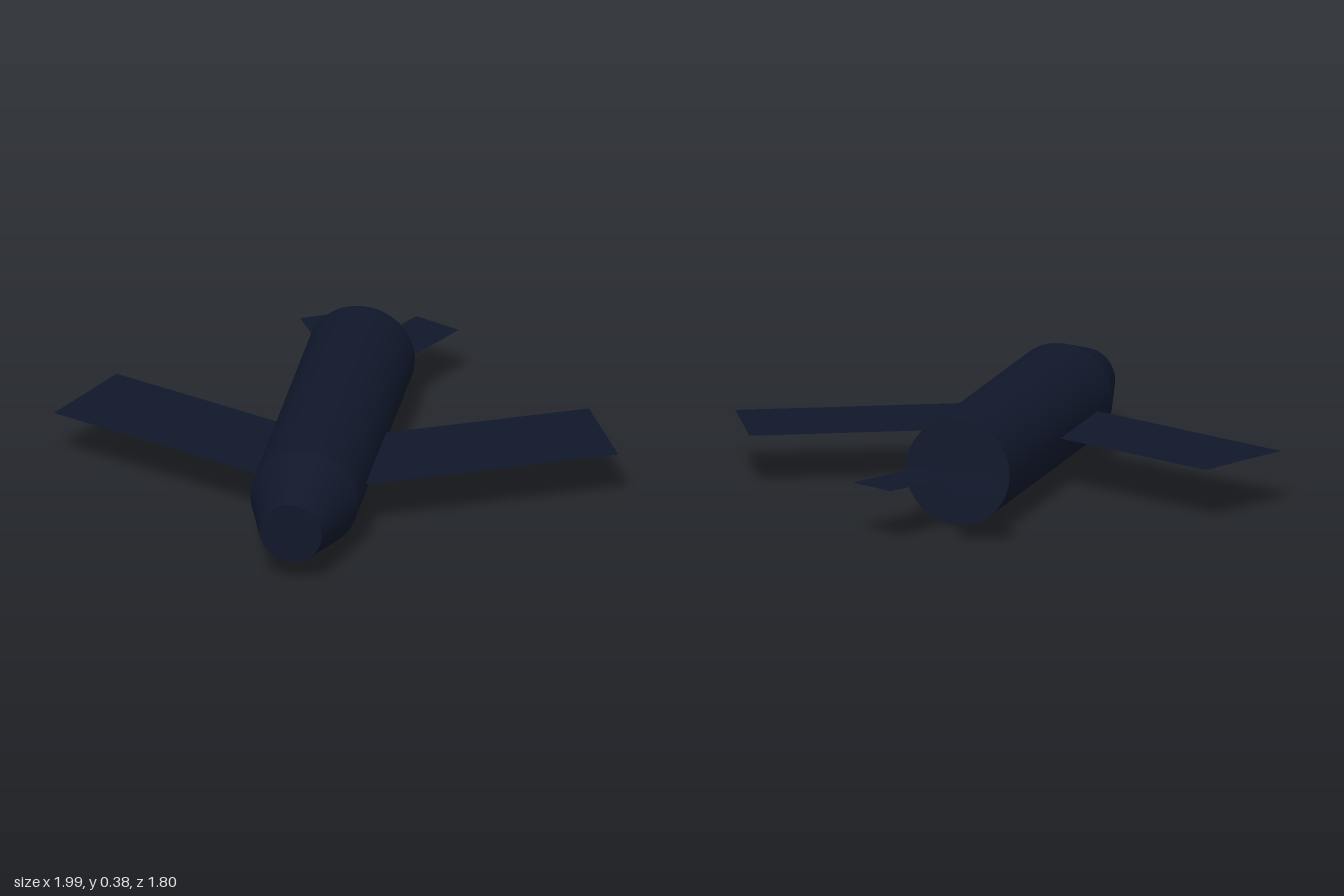
import * as THREE from 'three';

export function createModel() {
  const model = new THREE.Group();
  const bodyMat = new THREE.MeshStandardMaterial({ color: 0x0f172a });
  const finMat = new THREE.MeshStandardMaterial({ color: 0x0f172a, side: THREE.DoubleSide });
  const axisX = -0.02, axisY = 0.19;

  // Round section along z, from zBack to zFront
  function section(name, rFront, rBack, zFront, zBack) {
    const geo = new THREE.CylinderGeometry(rFront, rBack, zFront - zBack, 32);
    geo.rotateX(Math.PI / 2);
    const mesh = new THREE.Mesh(geo, bodyMat);
    mesh.name = name;
    mesh.position.set(axisX, axisY, (zFront + zBack) / 2);
    model.add(mesh);
  }

  // Thin flat panel, swept back by an angle, running inward from its tip's midpoint
  function panel(name, side, tipX, tipZ, degrees, length, width) {
    const angle = THREE.MathUtils.degToRad(degrees);
    const geo = new THREE.PlaneGeometry(length, width);
    geo.rotateX(-Math.PI / 2);
    geo.rotateY(side * angle);
    const mesh = new THREE.Mesh(geo, finMat);
    mesh.name = name;
    mesh.position.set(
      side * (tipX - Math.cos(angle) * length / 2),
      axisY,
      tipZ + Math.sin(angle) * length / 2
    );
    model.add(mesh);
  }

  // Fuselage and blunt tapered nose
  section('fuselage', 0.19, 0.19, 0.62, -0.56);
  section('nose', 0.11, 0.19, 0.9, 0.62);

  // Swept wings and V-shaped tail, mirrored
  for (const [label, side] of [['left', 1], ['right', -1]]) {
    panel(label + 'Wing', side, 0.915, -0.095, 25, 0.95, 0.385);
    panel(label + 'TailFin', side, 0.198, -0.86, 62.5, 0.45, 0.185);
  }

  return model;
}
